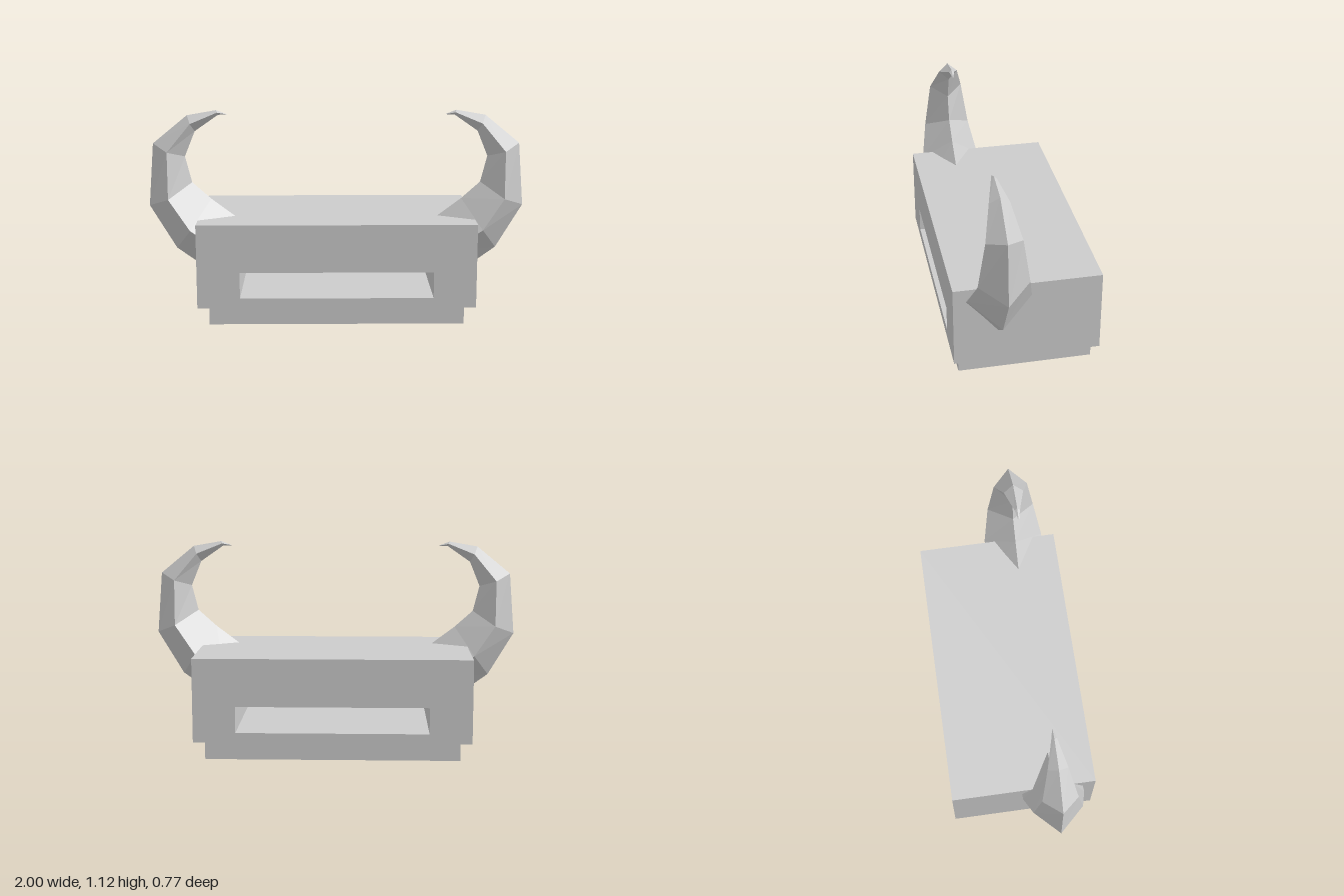
import * as THREE from 'three';

const material = new THREE.MeshStandardMaterial({
  color: 0xcccccc, flatShading: true, side: THREE.DoubleSide,
});

// Half sizes of the thin-walled case and its through slot
const W = 0.735, D = 0.385, BOTTOM = 0.097, TOP = 0.545;
const SLOT_W = 0.51, SLOT_LOW = 0.15, SLOT_HIGH = 0.29;

function addMesh(parent, name, geometry) {
  const mesh = new THREE.Mesh(geometry, material);
  mesh.name = name;
  parent.add(mesh);
  return mesh;
}

// Flat rectangle placed and turned to face outward
function panel(parent, name, w, h, position, rx = 0, ry = 0) {
  const mesh = addMesh(parent, name, new THREE.PlaneGeometry(w, h));
  mesh.position.set(...position);
  mesh.rotation.set(rx, ry, 0);
}

// Faceted skin through four-cornered rings
function loft(rings) {
  const points = [];
  for (let r = 0; r < rings.length - 1; r++) {
    for (let i = 0; i < 4; i++) {
      const j = (i + 1) % 4;
      const a = rings[r][i], b = rings[r][j], c = rings[r + 1][j], d = rings[r + 1][i];
      points.push(...a, ...b, ...c, ...a, ...c, ...d);
    }
  }
  const geometry = new THREE.BufferGeometry();
  geometry.setAttribute('position', new THREE.Float32BufferAttribute(points, 3));
  geometry.computeVertexNormals();
  return geometry;
}

// Front or back wall with the slot cut out
function slottedWall() {
  const shape = new THREE.Shape([
    new THREE.Vector2(-W, BOTTOM), new THREE.Vector2(W, BOTTOM),
    new THREE.Vector2(W, TOP), new THREE.Vector2(-W, TOP),
  ]);
  shape.holes.push(new THREE.Path([
    new THREE.Vector2(-SLOT_W, SLOT_LOW), new THREE.Vector2(-SLOT_W, SLOT_HIGH),
    new THREE.Vector2(SLOT_W, SLOT_HIGH), new THREE.Vector2(SLOT_W, SLOT_LOW),
  ]));
  return new THREE.ShapeGeometry(shape);
}

function createCase() {
  const group = new THREE.Group();
  group.name = 'case';
  const q = Math.PI / 2, h = TOP - BOTTOM, midY = (TOP + BOTTOM) / 2;

  // Outer shell, open underneath
  addMesh(group, 'frontWall', slottedWall()).position.z = D;
  const back = addMesh(group, 'backWall', slottedWall());
  back.position.z = -D;
  back.rotation.y = Math.PI;
  panel(group, 'topPanel', 2 * W, 2 * D, [0, TOP, 0], -q);
  panel(group, 'leftWall', 2 * D, h, [W, midY, 0], 0, q);
  panel(group, 'rightWall', 2 * D, h, [-W, midY, 0], 0, -q);

  // Lining of the slot running from front to back
  const slotH = SLOT_HIGH - SLOT_LOW, slotY = (SLOT_HIGH + SLOT_LOW) / 2;
  panel(group, 'slotFloor', 2 * SLOT_W, 2 * D, [0, SLOT_LOW, 0], -q);
  panel(group, 'slotCeiling', 2 * SLOT_W, 2 * D, [0, SLOT_HIGH, 0], q);
  panel(group, 'slotLeftSide', 2 * D, slotH, [SLOT_W, slotY, 0], 0, -q);
  panel(group, 'slotRightSide', 2 * D, slotH, [-SLOT_W, slotY, 0], 0, q);
  return group;
}

// Narrow ledge stepping in to an open plinth
function createPlinth() {
  const ring = (x, y, z) => [[x, y, -z], [x, y, z], [-x, y, z], [-x, y, -z]];
  return loft([ring(W, BOTTOM, D), ring(0.675, 0.09, 0.355), ring(0.675, 0, 0.355)]);
}

// Curved, tapering horn with a diamond section; side is +1 for left, -1 for right
function createHorn(side) {
  const z = 0.155;
  // outer x, y, side edge x, y, inner x, y, half width
  const sections = [
    [0.70, 0.255, 0.61, 0.39, 0.52, 0.527, 0.163],
    [0.86, 0.37, 0.77, 0.50, 0.67, 0.64, 0.165],
    [1.00, 0.605, 0.885, 0.66, 0.77, 0.73, 0.13],
    [0.973, 0.94, 0.89, 0.905, 0.805, 0.87, 0.092],
    [0.79, 1.09, 0.77, 1.05, 0.75, 1.005, 0.052],
    [0.635, 1.117, 0.63, 1.105, 0.625, 1.092, 0.014],
    [0.578, 1.095, 0.578, 1.094, 0.578, 1.093, 0.002],
  ];
  return loft(sections.map(([ox, oy, mx, my, ix, iy, w]) => [
    [side * ox, oy, z], [side * mx, my, z - side * w],
    [side * ix, iy, z], [side * mx, my, z + side * w],
  ]));
}

export function createModel() {
  const model = new THREE.Group();
  model.name = 'hornedCase';
  model.add(createCase());
  addMesh(model, 'plinth', createPlinth());
  addMesh(model, 'leftHorn', createHorn(1));
  addMesh(model, 'rightHorn', createHorn(-1));
  return model;
}
